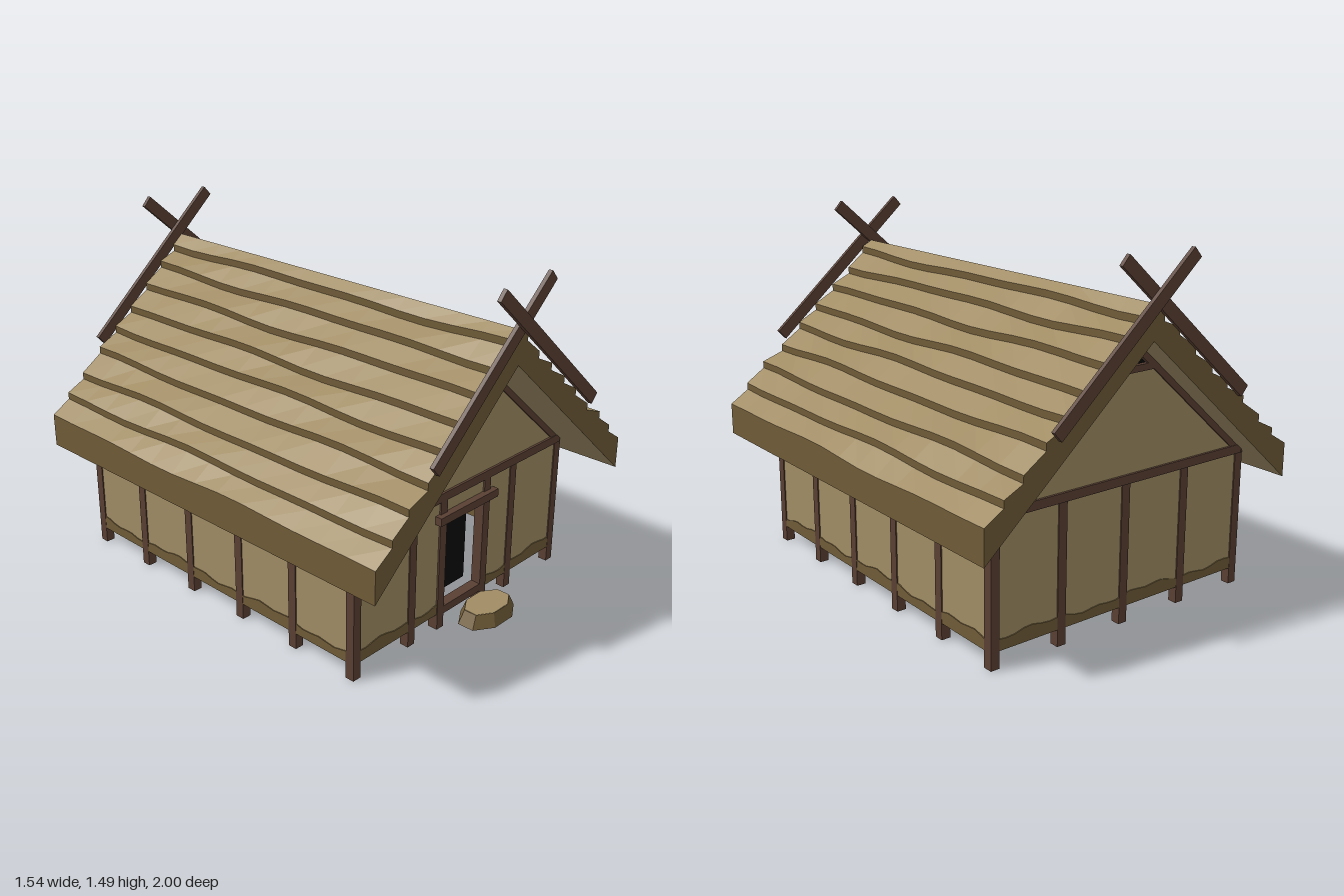
import * as THREE from 'three';

const mat = (name, color, side = THREE.FrontSide) =>
  Object.assign(new THREE.MeshStandardMaterial({ color, side }), { name });

export function createModel() {
  const house = new THREE.Group();
  house.name = 'thatchedHouse';
  const straw = mat('straw', 0xa18d65, THREE.DoubleSide);
  const earth = mat('darkStraw', 0x705c38, THREE.DoubleSide);
  const timber = mat('timber', 0x5a4034);
  const dark = mat('darkOpening', 0x0c0c0c, THREE.DoubleSide);

  const FRONT = 0.73, BACK = -0.82, SIDE = 0.63, EAVE_Z = 0.96;
  const MID = (FRONT + BACK) / 2, LEN = FRONT - BACK;

  function add(name, geo, material, x = 0, y = 0, z = 0, parent = house) {
    const m = new THREE.Mesh(geo, material);
    m.name = name;
    m.position.set(x, y, z);
    parent.add(m);
    return m;
  }
  // box centred on x and z, spanning y0..y1
  const beam = (name, w, y0, y1, d, x, z, material = timber) =>
    add(name, new THREE.BoxGeometry(w, y1 - y0, d), material, x, (y0 + y1) / 2, z);
  // sloping timber between two points in the XY plane
  function slanted(name, x0, y0, x1, y1, width, depth, z) {
    const geo = new THREE.BoxGeometry(Math.hypot(x1 - x0, y1 - y0), width, depth);
    const m = add(name, geo, timber, (x0 + x1) / 2, (y0 + y1) / 2, z);
    m.rotation.z = Math.atan2(y1 - y0, x1 - x0);
  }
  // flat slab from an outline, centred on its own z
  function slab(pts, depth) {
    const shape = new THREE.Shape(pts.map(p => new THREE.Vector2(p[0], p[1])));
    const geo = new THREE.ExtrudeGeometry(shape, { depth, bevelEnabled: false });
    return geo.translate(0, 0, -depth / 2);
  }
  // earth band with an uneven top edge
  function wavyBand(a, b, phase) {
    const n = Math.max(8, Math.round((b - a) * 24));
    const pts = [[b, 0.07], [a, 0.07]];
    for (let i = 0; i <= n; i++) {
      const t = a + (b - a) * i / n;
      pts.push([t, 0.117 + 0.009 * Math.sin(t * 11 + phase) + 0.006 * Math.sin(t * 37 + phase)]);
    }
    return slab(pts.reverse(), 0.038);
  }

  // end walls with gables; the front one leaves the doorway open
  const gableTop = [[0.62, 0.6], [0.14, 1.03], [-0.14, 1.03], [-0.62, 0.6]];
  const doorCut = [[-0.12, 0.07], [-0.12, 0.5], [0.12, 0.5], [0.12, 0.07]];
  add('frontWall', slab([[-0.62, 0.07], ...doorCut, [0.62, 0.07], ...gableTop], 0.03), straw, 0, 0, FRONT);
  add('backWall', slab([[-0.62, 0.07], [0.62, 0.07], ...gableTop], 0.03), straw, 0, 0, BACK);
  add('frontBandRight', wavyBand(-0.62, -0.13, 1), earth, 0, 0, FRONT);
  add('frontBandLeft', wavyBand(0.13, 0.62, 2), earth, 0, 0, FRONT);
  add('backBand', wavyBand(-0.62, 0.62, 3), earth, 0, 0, BACK);

  // side walls, plates and posts
  for (const s of [1, -1]) {
    beam('sideWall', 0.03, 0.07, 0.59, LEN, s * SIDE, MID, straw);
    add('sideBand', wavyBand(-LEN / 2, LEN / 2, s), earth, s * SIDE, 0, MID).rotation.y = Math.PI / 2;
    beam('wallPlate', 0.04, 0.55, 0.585, LEN, s * SIDE, MID);
    for (let i = 0; i < 6; i++)
      beam('sidePost', 0.04, 0, 0.59, 0.04, s * SIDE, FRONT + (BACK - FRONT) * i / 5);
  }

  // posts and framing of both ends
  for (const z of [FRONT, BACK]) {
    for (const s of [1, -1]) {
      beam('endPost', 0.04, 0, 0.59, 0.04, s * 0.315, z);
      slanted('gableRafter', s * 0.61, 0.605, 0, 1.143, 0.028, 0.045, z);
    }
    beam('tieBeam', 1.28, 0.58, 0.617, 0.05, 0, z);
    beam('collarBeam', 0.3, 1.015, 1.042, 0.045, 0, z);
    add('gableVent', slab([[-0.13, 1.03], [0.13, 1.03], [0, 1.16]], 0.008), dark, 0, 0, z);
  }
  beam('backMiddlePost', 0.04, 0, 0.59, 0.04, 0, BACK);

  // doorway
  for (const s of [1, -1]) beam('doorPost', 0.04, 0, 0.59, 0.045, s * 0.138, FRONT);
  beam('lintel', 0.365, 0.49, 0.525, 0.07, 0, FRONT + 0.01);
  beam('doorSill', 0.27, 0.06, 0.095, 0.045, 0, FRONT);
  beam('doorDarkness', 0.28, 0.08, 0.5, 0.008, 0, FRONT - 0.085, dark);

  // faceted step
  const stepGeo = new THREE.CylinderGeometry(0.118, 0.148, 0.055, 8).toNonIndexed();
  stepGeo.rotateY(Math.PI / 8).scale(1, 1, 0.64).computeVertexNormals();
  add('step', stepGeo, earth, 0, 0.0875, 0.88);
  add('stepTop', new THREE.CylinderGeometry(0.116, 0.116, 0.004, 8).rotateY(Math.PI / 8).scale(1, 1, 0.64),
    straw, 0, 0.1145, 0.88);

  // roof profile at z, from eave underside up to the ridge
  const courseX = [0.685, 0.6, 0.5, 0.405, 0.315, 0.22, 0.13, 0.05];
  const courseY = [0.69, 0.77, 0.852, 0.935, 1.012, 1.095, 1.175, 1.25];
  const wave = (z, k) => 0.006 * Math.sin(z * 5 + k * 1.9) + 0.004 * Math.sin(z * 9 + k * 3.1);
  function profile(z) {
    const pts = [[0.77, 0.48], [0.77, 0.622 + wave(z, 0)]];
    courseX.forEach((x, i) => {
      const y = courseY[i] + wave(z, i + 1);
      pts.push([x, y - 0.015], [x, y + 0.015]);
    });
    pts.push([0, 1.3]);
    return pts;
  }
  const STATIONS = 14;
  const stationZ = i => -EAVE_Z + 2 * EAVE_Z * i / STATIONS;

  // one strip of roof between profile points k and k + 1
  function strip(k, s) {
    const pos = [];
    for (let i = 0; i < STATIONS; i++) {
      const [z0, z1] = [stationZ(i), stationZ(i + 1)];
      const p = profile(z0), q = profile(z1);
      const a = [s * p[k][0], p[k][1], z0], b = [s * q[k][0], q[k][1], z1];
      const c = [s * q[k + 1][0], q[k + 1][1], z1], d = [s * p[k + 1][0], p[k + 1][1], z0];
      pos.push(...(s > 0 ? [a, c, b, a, d, c] : [a, b, c, a, c, d]).flat());
    }
    const geo = new THREE.BufferGeometry();
    geo.setAttribute('position', new THREE.Float32BufferAttribute(pos, 3));
    geo.computeVertexNormals();
    return geo;
  }
  for (const s of [1, -1]) {
    const slope = new THREE.Group();
    slope.name = s > 0 ? 'leftRoofSlope' : 'rightRoofSlope';
    house.add(slope);
    const count = profile(0).length - 1;
    for (let k = 0; k < count; k++)
      add(k % 2 ? 'thatchCourse' : 'thatchEdge', strip(k, s), k % 2 ? straw : earth, 0, 0, 0, slope);
    // underside
    const under = new THREE.PlaneGeometry(Math.hypot(0.77, 0.68), 2 * EAVE_Z);
    under.rotateX(Math.PI / 2).rotateZ(-s * Math.atan2(0.68, 0.77));
    add('roofUnderside', under, straw, s * 0.385, 0.82, 0, slope);
  }

  // thatch end faces and crossed ridge boards
  for (const e of [1, -1]) {
    const half = profile(e * EAVE_Z);
    const mirrored = half.slice(0, -1).reverse().map(([x, y]) => [-x, y]);
    const outline = [...half, ...mirrored, [0, 1.16]].map(p => new THREE.Vector2(p[0], p[1]));
    const face = new THREE.ShapeGeometry(new THREE.Shape(outline));
    if (e < 0) face.scale(-1, 1, 1).rotateY(Math.PI);
    add('thatchEnd', face, earth, 0, 0, e * EAVE_Z);
    slanted('innerRidgeBoard', -0.482, 0.898, 0.168, 1.475, 0.052, 0.018, e * 0.971);
    slanted('outerRidgeBoard', 0.482, 0.898, -0.168, 1.475, 0.052, 0.018, e * 0.991);
  }
  return house;
}
